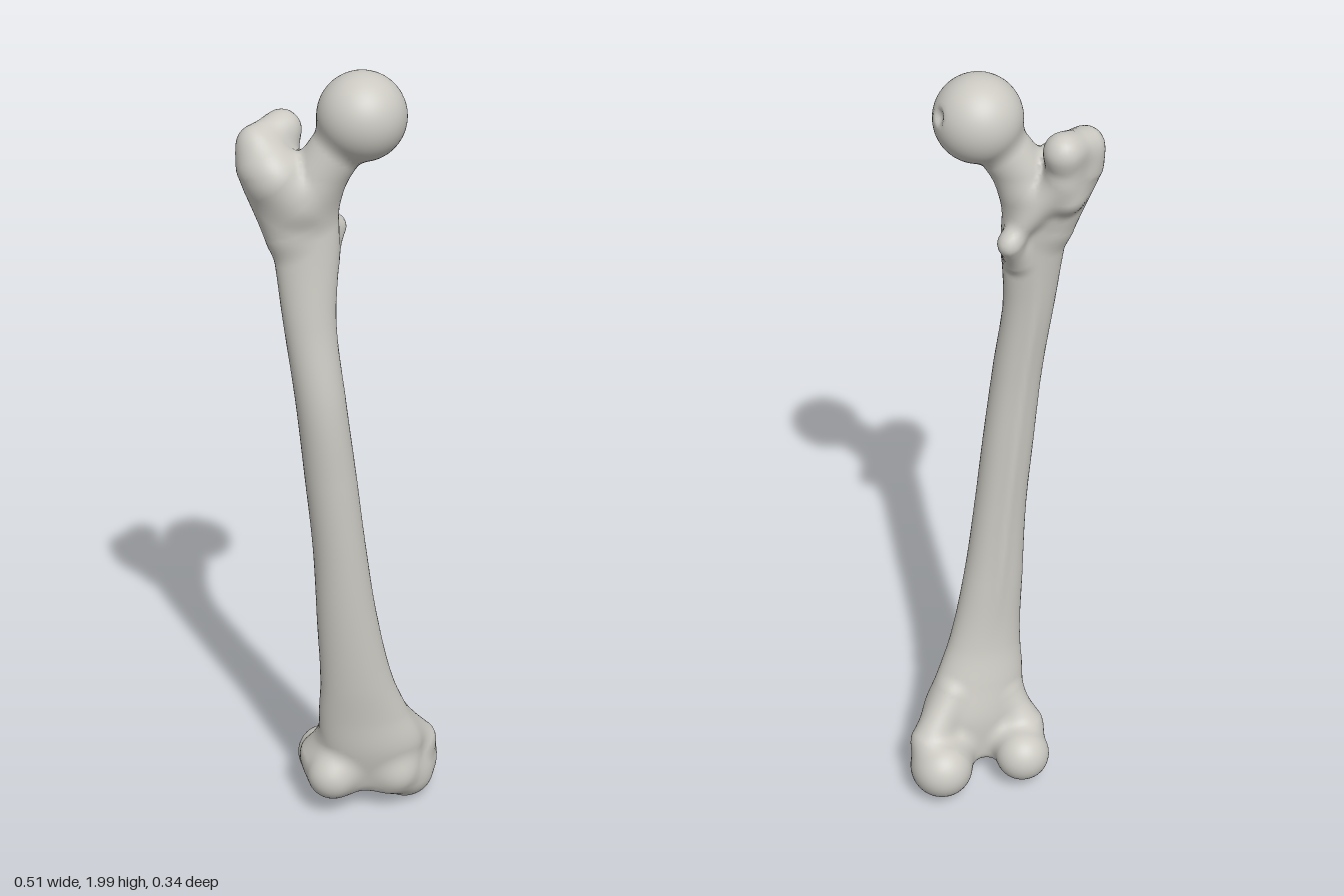
import * as THREE from 'three';
import { mergeVertices } from 'three/addons/utils/BufferGeometryUtils.js';

// Shaft cross-sections: height, then centre x, centre z, half width, half depth
const SECTIONS = [
  [0.08, 0.07, 0.0, 0.11, 0.06],
  [0.20, 0.07, 0.015, 0.132, 0.075],
  [0.30, 0.047, 0.03, 0.114, 0.068],
  [0.40, 0.028, 0.047, 0.093, 0.062],
  [0.60, 0.0, 0.0625, 0.075, 0.0615],
  [0.80, -0.02, 0.072, 0.065, 0.061],
  [1.00, -0.042, 0.077, 0.0625, 0.061],
  [1.20, -0.065, 0.079, 0.06, 0.06],
  [1.40, -0.088, 0.063, 0.0625, 0.053],
  [1.60, -0.095, 0.043, 0.08, 0.053],
  [1.72, -0.112, 0.036, 0.09, 0.058],
];
const sectionAt = new THREE.CubicInterpolant(
  new Float32Array(SECTIONS.map((s) => s[0])),
  new Float32Array(SECTIONS.flatMap((s) => s.slice(1))), 4);

// Tapered limbs: part, blend radius, start [x, y, z, radius], end [x, y, z, radius]
const LIMBS = [
  ['neck', 0.04, [0.02, 1.885, 0.063, 0.06], [-0.1, 1.70, 0.042, 0.064]],
  ['head', 0.02, [0.033, 1.897, 0.066, 0.103], [0.033, 1.897, 0.066, 0.103]],
  ['greaterTrochanter', 0.04, [-0.182, 1.775, 0.028, 0.068], [-0.135, 1.62, 0.04, 0.045]],
  ['greaterTrochanter', 0.03, [-0.165, 1.755, 0.06, 0.056], [-0.12, 1.70, 0.055, 0.05]],
  ['greaterTrochanter', 0.03, [-0.203, 1.825, 0.012, 0.043], [-0.138, 1.842, -0.036, 0.04]],
  ['greaterTrochanter', 0.03, [-0.138, 1.835, -0.036, 0.038], [-0.15, 1.72, -0.02, 0.042]],
  ['greaterTrochanter', 0.03, [-0.13, 1.76, -0.03, 0.024], [-0.04, 1.63, -0.008, 0.018]],
  ['lesserTrochanter', 0.03, [-0.019, 1.605, -0.014, 0.028], [-0.045, 1.54, 0.02, 0.022]],
  ['lateralCondyle', 0.035, [-0.033, 0.12, 0.032, 0.065], [-0.036, 0.105, -0.094, 0.07]],
  ['lateralCondyle', 0.03, [-0.06, 0.15, -0.03, 0.046], [-0.02, 0.24, 0.0, 0.03]],
  ['medialCondyle', 0.035, [0.13, 0.115, 0.025, 0.06], [0.178, 0.105, -0.095, 0.075]],
  ['medialCondyle', 0.03, [0.165, 0.08, -0.03, 0.074], [0.175, 0.085, -0.06, 0.076]],
  ['medialCondyle', 0.03, [0.2, 0.16, -0.045, 0.048], [0.13, 0.27, -0.005, 0.03]],
];

// Smooth union and smooth intersection
function blend(a, b, k) {
  const h = Math.max(k - Math.abs(a - b), 0) / k;
  return Math.min(a, b) - h * h * k * 0.25;
}
const cut = (a, b, k) => -blend(-a, -b, k);

function limbField(x, y, z, a, b) {
  const dx = b[0] - a[0], dy = b[1] - a[1], dz = b[2] - a[2];
  const len2 = dx * dx + dy * dy + dz * dz || 1;
  const t = THREE.MathUtils.clamp(
    ((x - a[0]) * dx + (y - a[1]) * dy + (z - a[2]) * dz) / len2, 0, 1);
  return Math.hypot(x - a[0] - dx * t, y - a[1] - dy * t, z - a[2] - dz * t)
    - (a[3] + (b[3] - a[3]) * t);
}

function shaftField(x, y, z) {
  const [cx, cz, rx, rz] = sectionAt.evaluate(THREE.MathUtils.clamp(y, 0.08, 1.72));
  const u = x - cx, v = z - cz;
  let d = (Math.hypot(u / rx, v / rz) - 1) * Math.min(rx, rz);
  // Rough ridge down the back
  if (v < 0) {
    const along = THREE.MathUtils.smoothstep(y, 0.4, 0.7) * (1 - THREE.MathUtils.smoothstep(y, 1.3, 1.6));
    d -= 0.007 * along * Math.exp(-((u / 0.018) ** 2)) * Math.min(1, -v / 0.03);
  }
  return cut(cut(d, y - 1.73, 0.04), 0.06 - y, 0.04);
}

// Signed field of the whole bone: negative inside
function boneField(x, y, z) {
  let d = shaftField(x, y, z);
  for (const [, k, a, b] of LIMBS) d = blend(d, limbField(x, y, z, a, b), k);
  // Small pit in the head
  const pit = Math.hypot(x - 0.137, y - 1.925, z - 0.045) - 0.019;
  return cut(d, -pit, 0.012);
}

function nearestPart(x, y, z) {
  let best = shaftField(x, y, z), name = 'shaft';
  for (const [part, , a, b] of LIMBS) {
    const d = limbField(x, y, z, a, b);
    if (d < best) { best = d; name = part; }
  }
  return name;
}

function gradient([x, y, z]) {
  const e = 0.002;
  return [
    (boneField(x + e, y, z) - boneField(x - e, y, z)) / (2 * e),
    (boneField(x, y + e, z) - boneField(x, y - e, z)) / (2 * e),
    (boneField(x, y, z + e) - boneField(x, y, z - e)) / (2 * e),
  ];
}

// Skin the field: one vertex per crossed cell, one quad per crossed edge
function skinField() {
  const h = 0.01, low = [-0.29, -0.03, -0.21], count = [59, 208, 43];
  const stride = [1, count[0], count[0] * count[1]];
  const values = new Float32Array(count[0] * count[1] * count[2]);
  const coords = (n) => [n % count[0], Math.floor(n / stride[1]) % count[1], Math.floor(n / stride[2])];
  for (let n = 0; n < values.length; n++) {
    const p = coords(n).map((c, a) => low[a] + c * h);
    values[n] = boneField(p[0], p[1], p[2]);
  }

  const positions = [], normals = [], known = new Map(), faces = {};
  function vertex(cell) {
    if (known.has(cell)) return known.get(cell);
    const sum = [0, 0, 0];
    let hits = 0;
    for (let a = 0; a < 3; a++) {
      const b = (a + 1) % 3, c = (a + 2) % 3;
      for (let m = 0; m < 4; m++) {
        const u = m & 1, v = m >> 1;
        const start = cell + u * stride[b] + v * stride[c];
        const f0 = values[start], f1 = values[start + stride[a]];
        if ((f0 < 0) === (f1 < 0)) continue;
        sum[a] += f0 / (f0 - f1);
        sum[b] += u;
        sum[c] += v;
        hits++;
      }
    }
    const p = coords(cell).map((q, a) => low[a] + (q + sum[a] / hits) * h);
    let g = gradient(p);
    const step = THREE.MathUtils.clamp(
      boneField(...p) / Math.max(0.2, g[0] ** 2 + g[1] ** 2 + g[2] ** 2), -h / 2, h / 2);
    p.forEach((q, a) => { p[a] = q - g[a] * step; });
    g = gradient(p);
    const size = Math.hypot(...g) || 1;
    positions.push(...p);
    normals.push(...g.map((q) => q / size));
    known.set(cell, positions.length / 3 - 1);
    return positions.length / 3 - 1;
  }

  for (let n = 0; n < values.length; n++) {
    const at = coords(n);
    if (at.some((c, a) => c < 1 || c > count[a] - 2)) continue;
    for (let a = 0; a < 3; a++) {
      const inside = values[n] < 0;
      if (inside === (values[n + stride[a]] < 0)) continue;
      const sb = stride[(a + 1) % 3], sc = stride[(a + 2) % 3];
      const q = [n - sb - sc, n - sc, n, n - sb].map(vertex);
      if (!inside) q.reverse();
      const part = nearestPart(...at.map((c, i) => low[i] + c * h));
      (faces[part] ??= []).push(q[0], q[1], q[2], q[0], q[2], q[3]);
    }
  }
  return { positions, normals, faces };
}

export function createModel() {
  const group = new THREE.Group();
  group.name = 'thighBone';
  const bone = new THREE.MeshStandardMaterial({ color: 0xcbc9c2 });
  bone.name = 'bone';

  const { positions, normals, faces } = skinField();
  for (const [part, index] of Object.entries(faces)) {
    const all = new THREE.BufferGeometry();
    all.setAttribute('position', new THREE.Float32BufferAttribute(positions, 3));
    all.setAttribute('normal', new THREE.Float32BufferAttribute(normals, 3));
    all.setIndex(index);
    // Keep only the vertices this part uses
    const mesh = new THREE.Mesh(mergeVertices(all.toNonIndexed(), 1e-6), bone);
    mesh.name = part;
    group.add(mesh);
  }
  return group;
}
